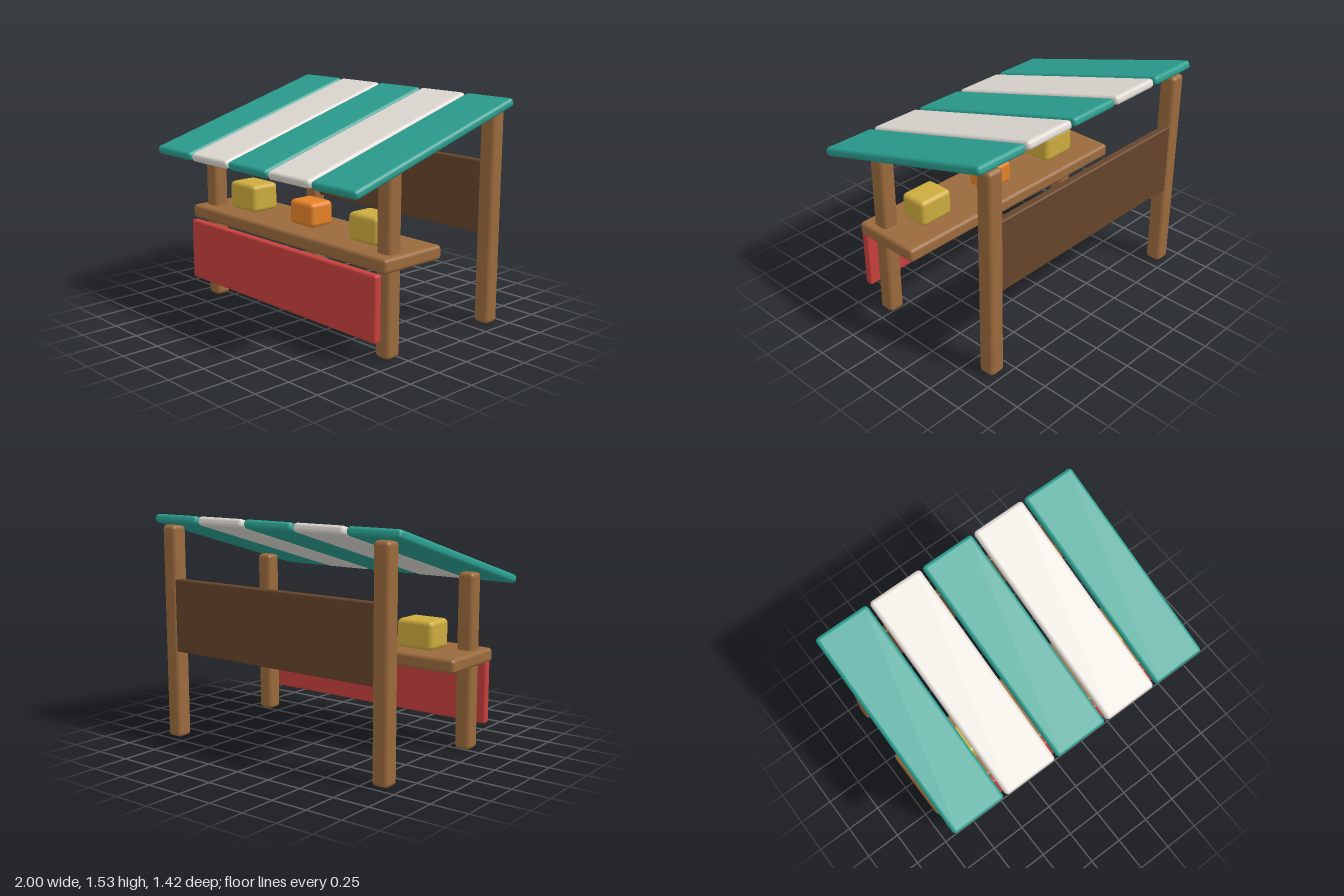
import * as THREE from 'three';
import { RoundedBoxGeometry } from 'three/addons/geometries/RoundedBoxGeometry.js';

const mat = (color) => new THREE.MeshStandardMaterial({ color });
const wood = mat(0x9a6a3c);
const darkWood = mat(0x66442a);
const red = mat(0xc8403c);
const teal = mat(0x2a9d8f);
const cream = mat(0xded9d2);
const yellow = mat(0xccab3e);
const orange = mat(0xe68228);

export function createModel() {
  const stall = new THREE.Group();
  stall.name = 'marketStall';

  // Soft-edged box given by size and centre
  function block(name, material, [w, h, d], [x, y, z], radius) {
    const mesh = new THREE.Mesh(new RoundedBoxGeometry(w, h, d, 3, radius), material);
    mesh.name = name;
    mesh.position.set(x, y, z);
    stall.add(mesh);
    return mesh;
  }

  // Four posts, the back pair taller
  for (const [side, x] of [['left', 0.866], ['right', -0.866]]) {
    block(`${side}FrontPost`, wood, [0.115, 1.185, 0.115], [x, 0.5925, 0.298], 0.028);
    block(`${side}BackPost`, wood, [0.115, 1.465, 0.115], [x, 0.7325, -0.655], 0.028);
  }

  // Counter, front skirt and back board
  block('counter', wood, [1.95, 0.095, 0.505], [0, 0.627, 0.187], 0.025);
  block('frontPanel', red, [1.87, 0.43, 0.058], [0, 0.36, 0.452], 0.015);
  block('backPanel', darkWood, [1.68, 0.5, 0.055], [0, 0.855, -0.676], 0.012);

  // Sloping roof of alternating slats
  for (let i = -2; i <= 2; i++) {
    const slat = block('roofSlat', i % 2 ? cream : teal, [0.386, 0.06, 1.472], [i * 0.403, 1.306, 0], 0.025);
    slat.rotation.x = 0.283;
  }

  // Goods on the counter
  block('rightGoods', yellow, [0.275, 0.195, 0.22], [-0.587, 0.77, 0.182], 0.032);
  block('middleGoods', orange, [0.235, 0.167, 0.19], [0.025, 0.757, 0.18], 0.032);
  block('leftGoods', yellow, [0.257, 0.185, 0.205], [0.612, 0.765, 0.18], 0.032);

  return stall;
}
